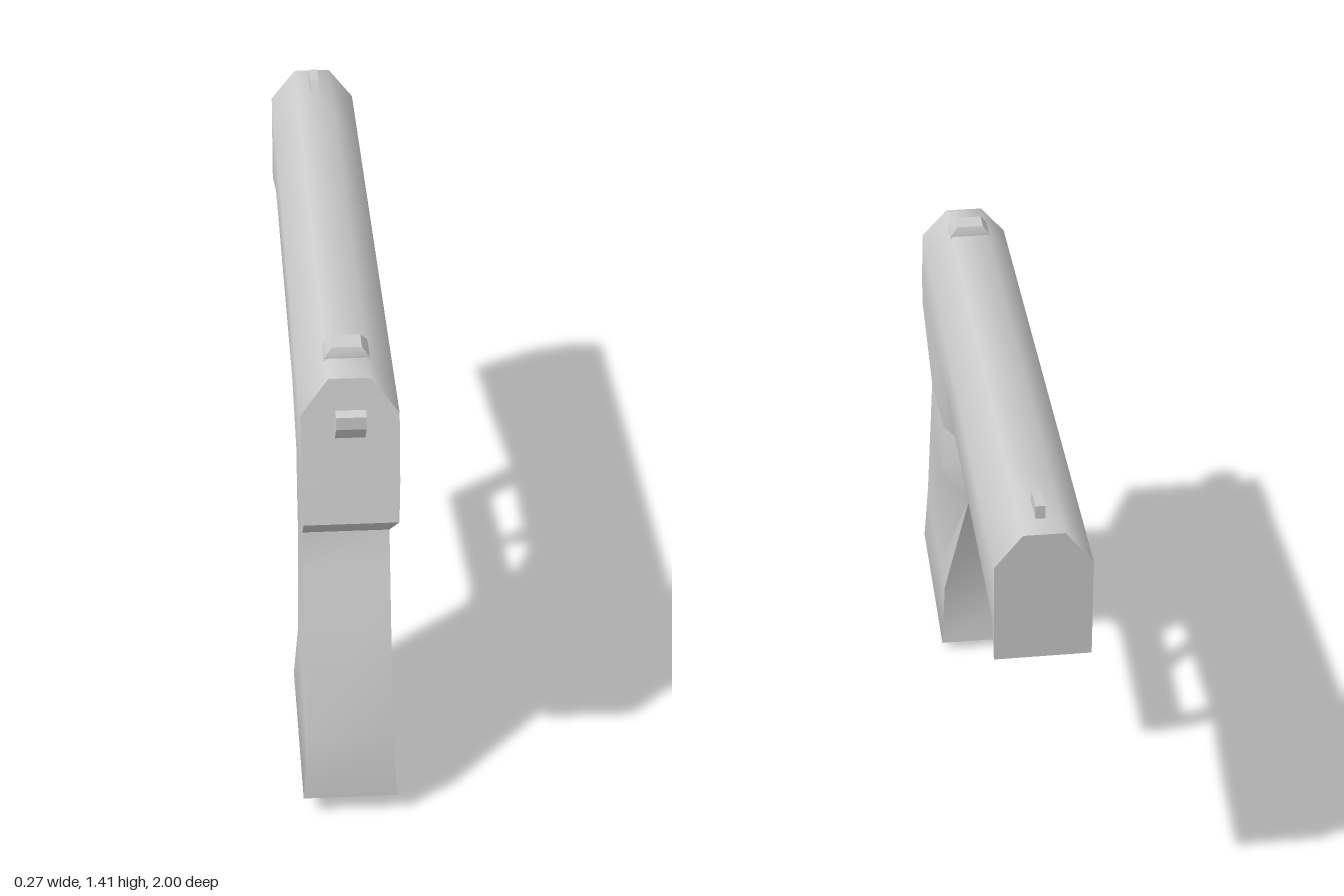
import * as THREE from 'three';
import { toCreasedNormals } from 'three/addons/utils/BufferGeometryUtils.js';

const material = new THREE.MeshStandardMaterial({ color: 0xcccccc });

// Skin a series of half sections ([x, y, z] on the left side), mirrored in x, with flat end caps
function loft(sections, crease) {
  const loops = sections.map(h => [...h, ...h.slice().reverse().map(([x, y, z]) => [-x, y, z])]);
  const n = loops[0].length;
  const tris = [];
  for (let i = 0; i < loops.length - 1; i++) {
    for (let j = 0; j < n; j++) {
      const k = (j + 1) % n;
      const [a, b, c, d] = [loops[i][j], loops[i][k], loops[i + 1][k], loops[i + 1][j]];
      tris.push([a, b, c], [a, c, d]);
    }
  }
  const cap = (loop, flip) => {
    for (let j = 0; j < n / 2 - 1; j++) {
      const [a, b, c, d] = [loop[j], loop[j + 1], loop[n - 2 - j], loop[n - 1 - j]];
      tris.push(...(flip ? [[a, c, b], [a, d, c]] : [[a, b, c], [a, c, d]]));
    }
  };
  cap(loops[0], true);
  cap(loops[loops.length - 1], false);
  // Turn the faces outwards if the enclosed volume comes out negative
  const v = p => new THREE.Vector3(...p);
  const volume = tris.reduce((s, [a, b, c]) => s + v(a).dot(v(b).cross(v(c))), 0);
  if (volume < 0) tris.forEach(t => t.reverse());
  const geo = new THREE.BufferGeometry();
  geo.setAttribute('position', new THREE.Float32BufferAttribute(tris.flat(2), 3));
  return toCreasedNormals(geo, crease);
}

// Extrude a side profile of [z, y] points to a width centred on x = 0
function plate(points, width) {
  const shape = new THREE.Shape(points.map(p => new THREE.Vector2(...p)));
  const geo = new THREE.ExtrudeGeometry(shape, { depth: width, bevelEnabled: false });
  return geo.translate(0, 0, -width / 2).rotateY(-Math.PI / 2);
}

export function createModel() {
  const group = new THREE.Group();
  const add = (name, geo) => {
    const mesh = new THREE.Mesh(geo, material);
    mesh.name = name;
    group.add(mesh);
  };

  // Upper body: section at z with given bottom width and height
  const section = (z, w, y) => [[0.055, 1.375, z], [0.13, 1.28, z], [0.13, 1.1, z], [w, y, z]];
  add('upperBody', loft([
    section(-1, 0.13, 0.99),
    section(-0.7, 0.1, 0.975),
    section(-0.38, 0.06, 0.96),
    section(0.12, 0.06, 0.96),
    section(0.2, 0.06, 0.9),
    section(0.4, 0.12, 0.86),
    section(0.755, 0.12, 0.81),
    // slanted rear end
    [[0.055, 1.375, 0.865], [0.13, 1.28, 0.89], [0.13, 1.1, 0.943], [0.127, 0.99, 0.975]],
  ], 1.0));

  // Grip: back corner, side shoulder, front corner from bottom to top
  add('grip', loft([
    [[0.11, 0.03, 0.95], [0.11, 0.01, 0.56], [0.11, 0.005, 0.47]],
    [[0.133, 0.06, 1.0], [0.133, 0.04, 0.55], [0.133, 0.03, 0.395]],
    [[0.12, 0.26, 0.98], [0.12, 0.24, 0.55], [0.12, 0.23, 0.425]],
    [[0.12, 0.65, 0.82], [0.12, 0.65, 0.46], [0.055, 0.65, 0.285]],
    [[0.12, 0.7, 0.8], [0.12, 0.69, 0.44], [0.052, 0.68, 0.2]],
    [[0.12, 0.81, 0.755], [0.12, 0.86, 0.4], [0.058, 0.9, 0.2]],
    [[0.11, 0.95, 0.74], [0.11, 0.95, 0.4], [0.055, 0.97, 0.22]],
  ], 0.8));

  add('triggerGuard', plate([
    [0.24, 0.675], [-0.32, 0.65], [-0.365, 0.94], [-0.39, 0.97], [-0.28, 0.97],
    [-0.32, 0.935], [-0.285, 0.695], [0.18, 0.72], [0.2, 0.9], [0.24, 0.9],
  ], 0.104));

  add('trigger', plate([
    [0.06, 0.97], [0.06, 0.92], [0.03, 0.81], [-0.04, 0.745],
    [-0.005, 0.81], [-0.015, 0.88], [-0.01, 0.97],
  ], 0.045));

  add('hammer', plate([
    [0.86, 1.3], [0.9, 1.28], [0.91, 1.22], [0.948, 1.27], [0.945, 1.305], [0.92, 1.312], [0.89, 1.29],
  ], 0.08));

  // Sights on the top
  add('rearSight', loft([
    [[0.062, 1.365, 0.765], [0.062, 1.365, 0.68]],
    [[0.058, 1.38, 0.765], [0.058, 1.38, 0.68]],
    [[0.04, 1.402, 0.755], [0.04, 1.402, 0.69]],
  ], 0.8));
  add('frontSight', plate([[-0.825, 1.37], [-0.85, 1.41], [-0.925, 1.413], [-0.925, 1.37]], 0.026));

  return group;
}
